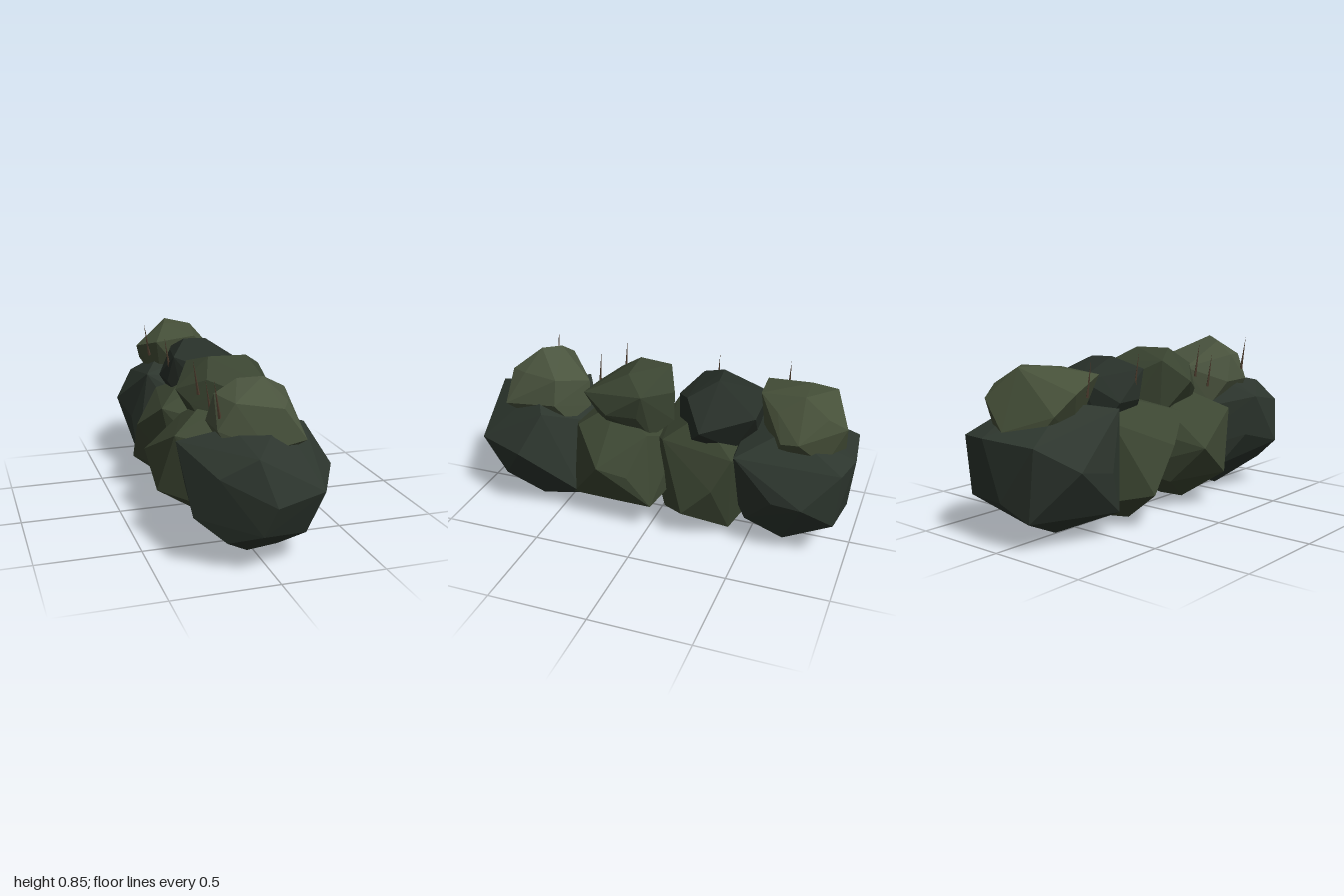
import * as THREE from 'three';
import { ConvexGeometry } from 'three/addons/geometries/ConvexGeometry.js';

// Small seeded generator for the uneven facets
function seeded(seed) {
  let s = seed * 7919 + 17;
  return () => (s = (s * 16807) % 2147483647) / 2147483647;
}

// The 20 corner directions of a dodecahedron
function corners() {
  const p = new THREE.DodecahedronGeometry(1, 0).attributes.position;
  const out = [];
  for (let i = 0; i < p.count; i++) {
    const v = new THREE.Vector3().fromBufferAttribute(p, i);
    if (!out.some((o) => o.distanceTo(v) < 0.01)) out.push(v);
  }
  return out;
}

// Faceted clump: a jittered dodecahedron whose nearest corners are pulled to the given tips
function clump(name, color, seed, c, radius, tips) {
  const rnd = seeded(seed);
  const free = corners().map((d) => d.multiplyScalar(radius * (0.88 + 0.12 * rnd())).add(c));
  const pulled = tips.map((t) => new THREE.Vector3(...t));
  for (const tip of pulled) {
    const dir = tip.clone().sub(c);
    free.sort((a, b) => a.clone().sub(c).angleTo(dir) - b.clone().sub(c).angleTo(dir));
    free.shift();
  }
  const mesh = new THREE.Mesh(
    new ConvexGeometry(pulled.concat(free)),
    new THREE.MeshStandardMaterial({ color, flatShading: true })
  );
  mesh.name = name;
  return mesh;
}

// Thin leaning twig that ends at the given tip
function twig(x, y, z) {
  const mesh = new THREE.Mesh(
    new THREE.ConeGeometry(0.008, 0.18, 4).translate(0, -0.09, 0),
    new THREE.MeshStandardMaterial({ color: 0x4a3a2c, flatShading: true })
  );
  mesh.position.set(x, y, z);
  mesh.rotation.z = 0.15;
  mesh.name = 'twig';
  return mesh;
}

export function createModel() {
  const group = new THREE.Group();
  group.name = 'hedge';

  // Four large clumps, front to back
  const lower = [
    [0x2d362e, [
      [-0.02, 0.35, 1], [-0.25, 0.47, 0.9], [-0.09, 0.56, 0.95], [0.23, 0.37, 0.92],
      [-0.06, 0.2, 0.94], [-0.33, 0.26, 0.78], [-0.345, 0.54, 0.55], [0.375, 0.39, 0.64],
      [-0.03, 0, 0.63], [0.27, 0.58, 0.55], [0.2, 0.12, 0.38]]],
    [0x3c4632, [
      [-0.375, 0.345, 0.05], [0.36, 0.38, 0.22], [0.05, 0.01, 0.23], [-0.36, 0.19, 0.24],
      [0.2, 0.12, 0.42], [0.27, 0.16, -0.03], [-0.3, 0.5, 0.36]]],
    [0x3c4632, [
      [-0.36, 0.4, -0.18], [0.05, 0.04, -0.03], [0.12, 0.03, -0.4], [0.26, 0.5, -0.44],
      [0.29, 0.17, -0.2], [-0.355, 0.18, -0.32], [-0.27, 0.53, 0]]],
    [0x2d362e, [
      [0.07, 0.51, -1], [0.22, 0.22, -0.94], [-0.06, 0.03, -0.69], [0.3, 0.33, -0.65],
      [0.26, 0.52, -0.45], [-0.34, 0.38, -0.8], [-0.22, 0.5, -0.97], [0.23, 0.5, -0.96],
      [-0.29, 0.13, -0.5], [-0.14, 0.14, -0.93], [-0.24, 0.6, -0.44]]],
  ];
  lower.forEach(([color, tips], i) => {
    const c = new THREE.Vector3(0, 0.33, 0.64 - 0.44 * i);
    group.add(clump(`lowerClump${i + 1}`, color, i + 1, c, 0.34, tips));
  });

  // Four smaller clumps along the top
  const upper = [
    [0x4b553f, [
      [0.03, 0.835, 0.645], [-0.17, 0.75, 0.56], [0.08, 0.72, 0.79], [0.19, 0.74, 0.5],
      [0.19, 0.57, 0.79], [-0.19, 0.61, 0.68]]],
    [0x3a4431, [
      [0.13, 0.81, 0.13], [0.23, 0.74, 0.03], [-0.23, 0.66, 0.12], [0.18, 0.7, 0.35],
      [-0.14, 0.77, 0]]],
    [0x272f28, [
      [0.05, 0.81, -0.31], [0.305, 0.64, -0.29], [-0.08, 0.73, -0.53], [0.18, 0.7, -0.53],
      [-0.16, 0.75, -0.17]]],
    [0x465039, [
      [-0.03, 0.82, -0.87], [0.05, 0.78, -0.52], [-0.235, 0.7, -0.72], [0.1, 0.68, -0.95],
      [0.24, 0.63, -0.75], [-0.17, 0.76, -0.5]]],
  ];
  upper.forEach(([color, tips], i) => {
    const c = new THREE.Vector3(0.01, 0.61, 0.58 - 0.44 * i);
    group.add(clump(`upperClump${i + 1}`, color, i + 11, c, 0.225, tips));
  });

  // Twigs poking out of the foliage
  [[-0.2, 0.84, 0.66], [-0.16, 0.77, 0.4], [-0.18, 0.84, 0.26], [-0.19, 0.84, -0.24], [-0.215, 0.845, -0.6]]
    .forEach((tip) => group.add(twig(...tip)));

  return group;
}
